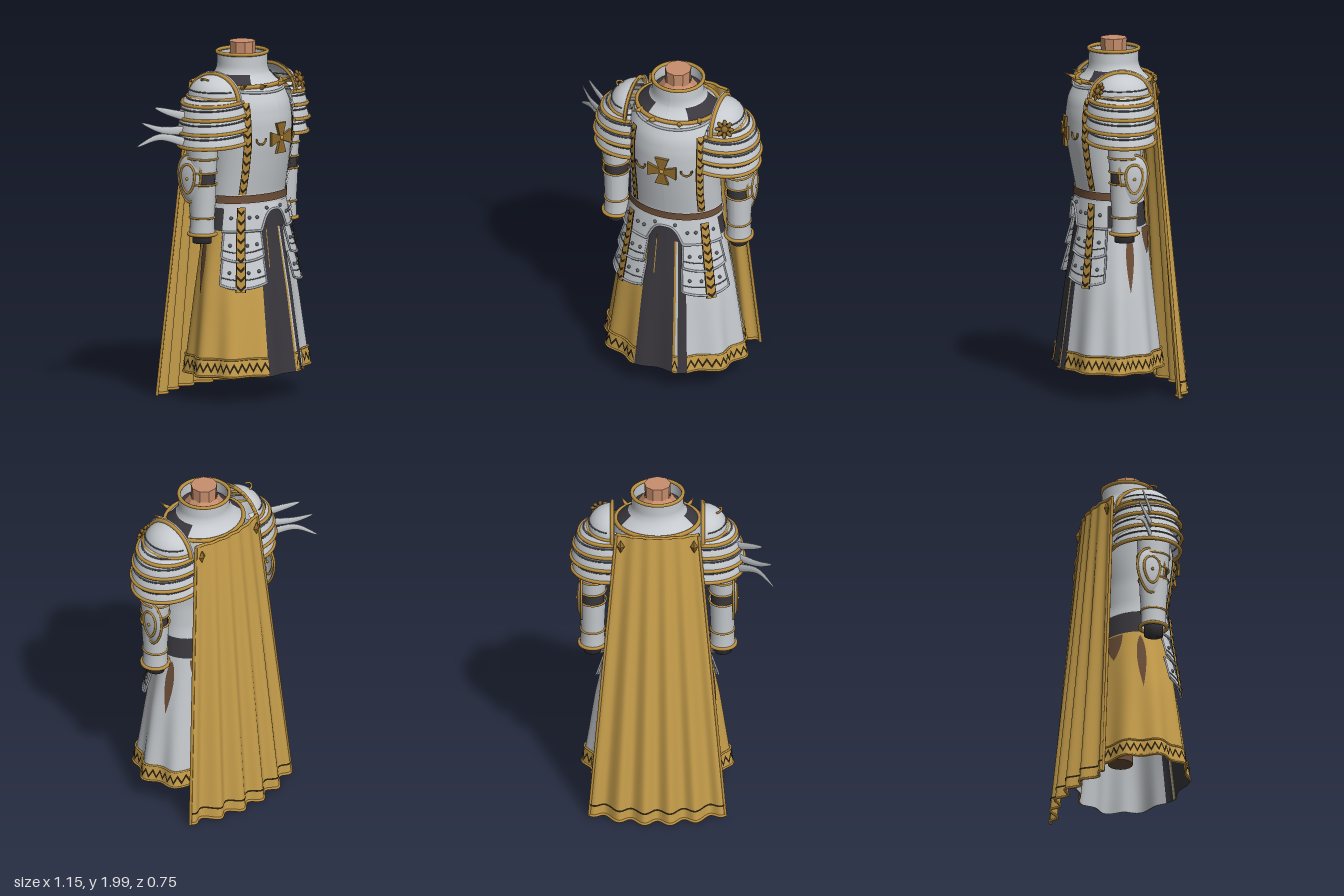
import * as THREE from 'three';
import { mergeGeometries } from 'three/addons/utils/BufferGeometryUtils.js';

const mat = (name, color) => Object.assign(
  new THREE.MeshStandardMaterial({ color, side: THREE.DoubleSide }), { name });
const steel = mat('steel', 0xc6cace), gold = mat('gold', 0xbd9140), dark = mat('dark cloth', 0x3a383e),
  leather = mat('brown leather', 0x6e4f38), skin = mat('skin', 0xc98f6e), ink = mat('dark pattern', 0x2a2112),
  seam = mat('grey seam', 0x5d6168), cloth = mat('gold cloth', 0xc9a04c), silver = mat('silver trim', 0xadb2b9),
  bronze = mat('bronze', 0x8f6a2c);
const D = Math.PI / 180, V = (a) => new THREE.Vector3(...a);
const lerp = THREE.MathUtils.lerp;

// Surface from a rule f(u, v) -> [x, y, z]
function grid(f, nu, nv) {
  const pos = [], idx = [];
  for (let j = 0; j <= nv; j++) for (let i = 0; i <= nu; i++) {
    pos.push(...f(i / nu, j / nv));
    if (i < nu && j < nv) {
      const a = j * (nu + 1) + i, b = a + nu + 1;
      idx.push(a, a + 1, b, a + 1, b + 1, b);
    }
  }
  const g = new THREE.BufferGeometry();
  g.setAttribute('position', new THREE.Float32BufferAttribute(pos, 3));
  g.setIndex(idx);
  g.computeVertexNormals();
  return g;
}
const tube = (pts, r, closed = false) => {
  const c = new THREE.CatmullRomCurve3(pts.map(V), closed);
  return new THREE.TubeGeometry(c, pts.length * 2, r, 6, closed);
};
const line = (f, r, n = 16, closed = false) =>
  tube(Array.from({ length: closed ? n : n + 1 }, (_, i) => f(i / n)), r, closed);

// Elliptical body surface from rows [y, half width, front z, back z]; angle 0 faces front
const body = (keys, fold = 0) => (deg, y, off = 0) => {
  let i = 0;
  while (i < keys.length - 2 && y > keys[i + 1][0]) i++;
  const p = keys[i], q = keys[i + 1], t = (y - p[0]) / (q[0] - p[0]);
  const [a, f, b] = [1, 2, 3].map(k => lerp(p[k], q[k], t));
  const k = 1 + fold * THREE.MathUtils.clamp((1 - y) / 0.85, 0, 1) * Math.cos(10 * (deg - 16) * D);
  return [(a * k + off) * Math.sin(deg * D), y, (f + b) / 2 + ((f - b) / 2 * k + off) * Math.cos(deg * D)];
};
const torso = body([[1.09, .27, .255, -.13], [1.15, .262, .25, -.115], [1.3, .26, .28, -.115], [1.45, .265, .308, -.14],
  [1.58, .27, .308, -.15], [1.67, .265, .295, -.16], [1.73, .25, .265, -.165], [1.775, .235, .24, -.165]]);
const gorget = body([[1.765, .235, .245, -.165], [1.8, .195, .205, -.13], [1.83, .16, .185, -.11],
  [1.86, .147, .18, -.1], [1.94, .143, .178, -.1]]);
const skirtKeys = [[.15, .397, .36, -.215], [.6, .342, .305, -.17], [.95, .28, .255, -.14], [1.12, .255, .24, -.125]];
const skirt = body(skirtKeys, .05), hip = body(skirtKeys);
const patch = (f, a0, a1, y0, y1, off = 0, nu = 24, nv = 12) =>
  grid((u, v) => f(lerp(a0, a1, u), lerp(y0, y1, v), off), nu, nv);

export function createModel() {
  const root = new THREE.Group(), g = new THREE.Group();
  root.name = 'armouredRobe';
  g.position.x = .085;
  root.add(g);
  const add = (name, geo, m) => {
    const mesh = new THREE.Mesh(Array.isArray(geo) ? mergeGeometries(geo) : geo, m);
    mesh.name = name;
    g.add(mesh);
    return mesh;
  };

  // Faceted neck
  for (const [name, top, bottom, y0, y1, open] of [['neck', .075, .07, 1.88, 2, false], ['neckBase', .078, .125, 1.86, 1.93, true]]) {
    const n = new THREE.CylinderGeometry(top, bottom, y1 - y0, 9, 1, open).toNonIndexed();
    n.computeVertexNormals();
    add(name, n, skin).position.set(0, (y0 + y1) / 2, .04);
  }
  add('collarLining', new THREE.CylinderGeometry(.138, .138, .01, 28), dark).position.set(0, 1.86, .04);

  // Collar and breastplate
  add('collar', patch(gorget, 0, 360, 1.765, 1.94, 0, 48, 14), steel);
  add('collarRims', [line(t => gorget(t * 360, 1.94), .011, 32, true), line(t => gorget(t * 360, 1.77, .004), .013, 32, true)], gold);
  add('breastplate', patch(torso, 0, 360, 1.09, 1.775, 0, 56, 24), steel);
  add('necklineTrim', line(t => torso(lerp(-65, 65, t), 1.735 + .02 * (2 * t - 1) ** 2, .002), .008), silver);
  add('belt', patch(torso, -88, 88, 1.12, 1.165, .009, 32, 2), leather);
  const cross = new THREE.Shape();
  for (let i = 0; i < 4; i++) {
    for (const [x, y] of [[-.015, .015], [-.04, .085], [.04, .085], [.015, .015]]) {
      const p = new THREE.Vector2(x, y).rotateAround(new THREE.Vector2(), -i * Math.PI / 2);
      i || x !== -.015 ? cross.lineTo(p.x, p.y) : cross.moveTo(p.x, p.y);
    }
  }
  add('chestCross', new THREE.ExtrudeGeometry(cross, { depth: .015, bevelEnabled: false }), bronze).position.set(0, 1.48, .308);
  add('crossBoss', new THREE.SphereGeometry(.014, 12, 8), gold).position.set(0, 1.48, .32);

  // Waist and skirt panels
  add('waistCloth', patch(hip, 0, 360, .93, 1.115, -.004, 48, 4), dark);
  const panels = [['frontPanel', -21, 11, dark], ['frontEdging', 11, 13, gold], ['frontGap', 13, 15, steel],
    ['frontSlit', 15, 23, dark], ['leftSkirt', 23, 180, steel], ['rightSkirt', -180, -21, cloth]];
  for (const [name, a, b, m] of panels) add(name, patch(skirt, a, b, .15, .965, 0, Math.ceil((b - a) / 3), 14), m);
  add('panelStripe', patch(skirt, -11, -10, .75, 1.0, .004, 1, 6), gold);
  for (const [a, b, teeth] of [[23, 180, 22], [-180, -21, 22], [11, 15, 1]]) {
    add('hemBand', patch(skirt, a, b, .152, .26, .006, 60, 2), cloth);
    add('hemZigzag', grid((u, v) => {
      const i = Math.round(u * teeth * 2);
      return skirt(lerp(a, b, u), .176 + (i % 2) * .042 + v * .02, .011);
    }, teeth * 2, 1), ink);
    for (const y of [.158, .255]) add('hemPiping', line(t => skirt(lerp(a, b, t), y, .007), .006, teeth * 2), gold);
  }
  for (const s of [-1, 1]) {
    add('skirtGash', grid((u, v) => skirt(s * (106 + (u - .5) * 13 * Math.sin(Math.PI * v ** .7)), lerp(.94, .6, v), .005), 4, 12), leather);
    add('backTear', grid((u, v) => skirt(s * (145 + (u - .5) * 26 * (1 - v * v)), lerp(.955, .8, v), .005), 6, 8), leather);
    add('leg', new THREE.CylinderGeometry(.085, .07, .6, 16), leather).position.set(s * .1, .61, .04);
  }

  // Hip plates
  const arch = (d) => Math.abs(d) < 20 ? 1.075 - .11 * (Math.abs(d) / 20) ** 3 : .965;
  add('waistPlate', grid((u, v) => {
    const d = lerp(-72, 72, u);
    return hip(d, lerp(arch(d), 1.11, v), .026 - .01 * v);
  }, 72, 4), steel);
  add('waistPlateTrim', line(t => hip(lerp(-72, 72, t), arch(lerp(-72, 72, t)), .028), .007, 48), silver);
  for (const s of [-1, 1]) {
    for (const [i, y0, y1] of [[0, .97, .80], [1, .82, .65]]) {
      const at = (u, v, o = 0) => hip(s * lerp(20 - i, 70, u), lerp(y0, y1, v) + .025 * v * (2 * u - 1) ** 2, .014 + .02 * v + o);
      add('hipPlate', grid((u, v) => at(u, v), 20, 5), steel);
      add('hipPlateTrim', [line(t => at(t, 1), .007), line(t => at(0, t), .006, 5), line(t => at(1, t), .006, 5)], silver);
      add('hipPlateSeam', line(t => at(t, .72, .002), .003), seam);
      for (const u of [.15, .38, .8]) add('rivet', new THREE.SphereGeometry(.01, 8, 6), seam).position.set(...at(u, .5, .003));
    }
    for (const d of [12, 26, 36, 60]) add('rivet', new THREE.SphereGeometry(.01, 8, 6), seam).position.set(...hip(s * d, d < 20 ? 1.085 : 1.04, .024));

    // Chevron straps
    for (const [f, y0, y1, o, n] of [[torso, 1.17, 1.69, .003, 10], [hip, .63, 1.1, .034, 9]]) {
      add('strapBorder', patch(f, s * 41.5, s * 52.5, y0, y1, o, 4, 16), ink);
      add('strap', patch(f, s * 42.7, s * 51.3, y0, y1, o + .004, 4, 16), gold);
      const step = (y1 - y0) / n;
      add('chevrons', Array.from({ length: n }, (_, k) => grid((u, v) =>
        f(s * (47 + (u - .5) * 8), y0 + k * step + Math.abs(u - .5) * .04 + v * .017 + .006, o + .008), 2, 1)), ink);
    }
    add('chestCrescent', new THREE.TorusGeometry(.03, .006, 6, 16, Math.PI * 1.1), bronze).position.set(s * .135, 1.485, .286);
    g.children.at(-1).rotation.set(0, s * .35, Math.PI * .95);
    add('collarPatch', patch(gorget, s * 32, s * 116, 1.768, 1.83, .004, 20, 6), dark);

    // Collar fangs
    for (const [b, t] of [[[.07, 1.76, .225], [.1, 1.79, .305]], [[.165, 1.765, .165], [.205, 1.79, .24]]]) {
      const p = V(b), q = V(t), dir = q.clone().sub(p);
      p.x *= s; q.x *= s; dir.x *= s;
      const c = add('collarFang', new THREE.ConeGeometry(.018, dir.length(), 8), gold);
      c.position.copy(p).add(q).multiplyScalar(.5);
      c.quaternion.setFromUnitVectors(V([0, 1, 0]), dir.normalize());
    }

    // Shoulder dome and overlapping bands
    const dome = (p, e, k = 1) => [s * (.25 + .14 * k * Math.cos(e) * Math.cos(p)), 1.715 + .125 * k * Math.sin(e), .045 + .158 * k * Math.cos(e) * Math.sin(p)];
    add('shoulderDome', grid((u, v) => dome((u - .5) * Math.PI, v * Math.PI / 2), 28, 10), steel);
    const archLine = (k, x) => t => [s * x, 1.7 + .145 * k * Math.sin(t * Math.PI), .045 + .172 * k * Math.cos(t * Math.PI)];
    add('shoulderArch', [line(archLine(1, .252), .012), line(t => dome((t - .5) * Math.PI, .04, 1.02), .009)], gold);
    add('shoulderLip', grid((u, v) => archLine(1 + .1 * v, .252 - .012 * v)(u), 20, 2), steel);
    add('domeSeam', line(t => dome((t - .5) * Math.PI * .85, .35, 1.005), .004), seam);
    for (const [y, ax, bz, flare] of [[1.685, .19, .178, .055], [1.61, .218, .192, .03], [1.53, .232, .198, .03], [1.45, .226, .19, .03]]) {
      const at = (u, v, o = 0) => {
        const p = (u - .5) * 200 * D, k = flare * (1 - v) ** 1.3 - o;
        return [s * (.25 + (ax - k) * Math.cos(p)), y + (flare > .05 ? .05 : .085) * (1 - v) + .015 * (2 * u - 1) ** 2, .045 + (bz - k) * Math.sin(p)];
      };
      add('shoulderBand', grid((u, v) => at(u, v), 28, 5), steel);
      add('shoulderBandRim', line(t => at(t, 1), .011), gold);
      add('shoulderBandSeam', line(t => at(t, .4, .002), .005), seam);
    }

    // Arm: rows of [y, x radius, z radius]
    const arm = (name, rows, m) => add(name, grid((u, v) => {
      const [y, a, b] = rows[Math.round(v * (rows.length - 1))], t = u * 2 * Math.PI;
      return [s * .362 + a * Math.sin(t), y, .046 + b * Math.cos(t)];
    }, 28, rows.length - 1), m);
    arm('sleeve', [[1.47, .07, .085], [1.2, .064, .075], [.96, .05, .055], [.905, .05, .055], [.905, 0, 0]], dark);
    arm('upperArm', [[1.64, .08, .1], [1.5, .078, .095], [1.4, .077, .092], [1.3, .073, .084]], steel);
    arm('forearm', [[1.245, .074, .082], [1.15, .07, .078], [1.04, .065, .07], [.955, .07, .072]], steel);
    for (const [y, a, b] of [[1.385, .078, .093], [1.305, .075, .086], [1.24, .076, .084], [1.05, .067, .072], [.955, .074, .076]])
      add('armRing', line(t => [s * .362 + a * Math.sin(t * 2 * Math.PI), y, .046 + b * Math.cos(t * 2 * Math.PI)], y < 1 ? .011 : .006, 20, true), gold);

    // Elbow guard
    const guard = (t, k) => [s * (.405 + .042 * Math.sqrt(Math.max(0, 1 - k * k * .8))),
      1.272 + .135 * k * Math.cos(t), .005 + .08 * k * Math.sin(t) * (1 + .22 * Math.cos(t))];
    add('elbowGuard', grid((u, v) => guard(u * 2 * Math.PI, v), 28, 6), steel);
    add('elbowGuardTrim', [1, .6].map(k => line(t => guard(t * 2 * Math.PI, k), .007, 20, true)), gold);
    add('elbowStud', new THREE.SphereGeometry(.009, 8, 6), gold).position.set(s * .448, 1.272, .005);
  }

  // Right shoulder: curved horns and hook ornament
  for (const pts of [[[-.45, 1.625, -.01], [-.53, 1.655, -.07], [-.585, 1.68, -.115]],
    [[-.455, 1.545, -.01], [-.56, 1.555, -.09], [-.64, 1.595, -.165]],
    [[-.45, 1.48, -.01], [-.56, 1.512, -.1], [-.655, 1.458, -.19]]]) {
    const c = new THREE.CatmullRomCurve3(pts.map(V));
    add('shoulderHorn', grid((u, v) => {
      const p = c.getPoint(v), r = .027 * (1 - v) ** .5, t = u * 2 * Math.PI;
      return [p.x + .2 * r * Math.cos(t), p.y + r * Math.sin(t), p.z - .2 * r * Math.cos(t)];
    }, 12, 14), steel);
  }
  const hook = add('shoulderHook', new THREE.TorusGeometry(.026, .006, 6, 18, Math.PI * 1.4), gold);
  hook.position.set(-.335, 1.818, .05);
  hook.rotation.set(-Math.PI / 2, .5, 0);

  // Left shoulder rosette
  const petals = [new THREE.SphereGeometry(.02, 12, 8)];
  for (let i = 0; i < 8; i++) petals.push(new THREE.SphereGeometry(.019, 10, 6).scale(1, .6, .5).translate(.036, 0, 0).rotateZ(i * Math.PI / 4));
  const rose = add('rosette', petals, bronze);
  rose.position.set(.325, 1.755, .187);
  rose.lookAt(.55, 2.0, .7);
  add('rosetteRing', new THREE.TorusGeometry(.032, .005, 6, 20), ink).position.copy(rose.position);
  g.children.at(-1).quaternion.copy(rose.quaternion);

  // Pleated cape
  const cape = (u, v, o = 0) => {
    const q = 2 * u - 1;
    return [q * lerp(.23, .38, v), lerp(1.78, .008, v),
      lerp(-.188 + .045 * q * q, -.345 + .1 * q * q, v) + (.004 + .021 * v) * Math.cos(5.2 * Math.PI * q) - o];
  };
  add('cape', grid((u, v) => cape(u, v), 80, 24), cloth);
  add('capeHemLine', grid((u, v) => cape(u, .957 + .006 * v, .005), 80, 1), ink);
  add('capeEdges', [line(t => cape(0, t), .009), line(t => cape(1, t), .009), line(t => cape(t, 0), .009), line(t => cape(t, .997), .008, 48)], gold);
  for (const s of [-1, 1]) {
    const b = add('capeBrooch', new THREE.OctahedronGeometry(.035), bronze);
    b.scale.set(.65, 1.2, .5);
    b.position.set(s * .205, 1.715, -.17);
  }
  return root;
}
